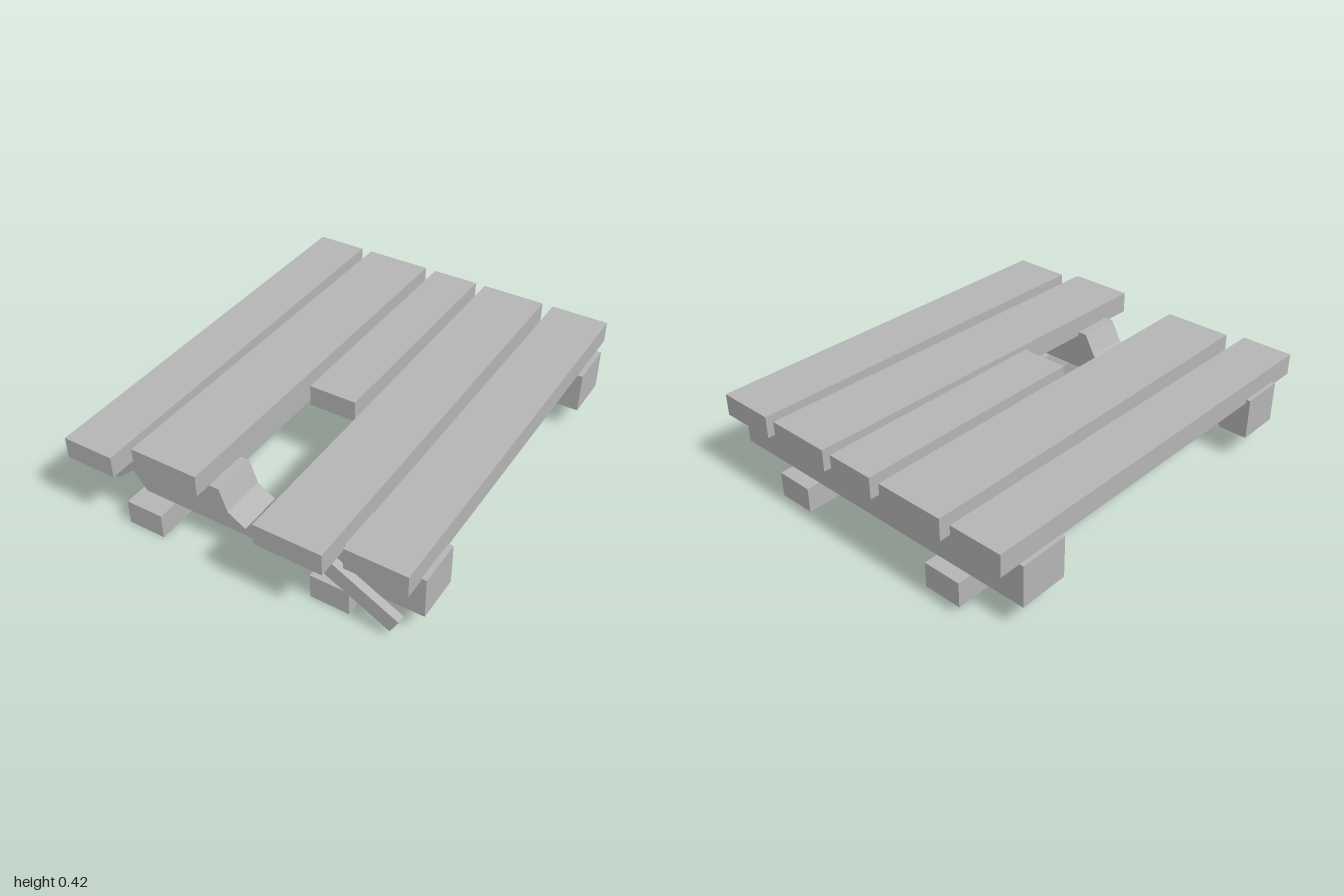
import * as THREE from 'three';

export function createModel() {
  const model = new THREE.Group();
  model.name = 'brokenPallet';
  const wood = new THREE.MeshStandardMaterial({ color: 0xb4b4b4 });
  wood.name = 'greyWood';

  const add = (name, geometry) => {
    const mesh = new THREE.Mesh(geometry, wood);
    mesh.name = name;
    model.add(mesh);
    return mesh;
  };

  // Box given by its limits on each axis
  const block = (x0, x1, y0, y1, z0, z1) =>
    new THREE.BoxGeometry(x1 - x0, y1 - y0, z1 - z0)
      .translate((x0 + x1) / 2, (y0 + y1) / 2, (z0 + z1) / 2);

  // Outline in x and y, extruded along z
  const slab = (points, z0, z1) =>
    new THREE.ExtrudeGeometry(
      new THREE.Shape(points.map(([x, y]) => new THREE.Vector2(x, y))),
      { depth: z1 - z0, bevelEnabled: false }
    ).translate(0, 0, z0);

  // Top planks: left edge, right edge, front end, sag at the front end
  const planks = [
    [-0.815, -0.565, 0.99, 0.022],
    [-0.51, -0.18, 0.92, 0],
    [-0.125, 0.108, 0.17, 0],
    [0.157, 0.473, 1, 0.024],
    [0.527, 0.808, 0.937, 0.012],
  ];
  planks.forEach(([x0, x1, front, sag], i) => {
    const geometry = block(x0, x1, 0.316, 0.42, -1, front);
    const p = geometry.attributes.position;
    for (let k = 0; k < p.count; k++) {
      if (p.getZ(k) > -0.9) p.setY(k, p.getY(k) - sag);
    }
    geometry.computeVertexNormals();
    add(`plank${i + 1}`, geometry);
  });

  // Back cross beam
  add('backBeam', block(-0.835, 0.832, 0.12, 0.316, -0.9, -0.667));

  // Front cross beam with splintered gaps above and below
  add('frontBeam', slab([
    [-0.835, 0.12], [-0.7, 0.12], [-0.603, 0.205], [-0.535, 0.12],
    [0.832, 0.12], [0.832, 0.316], [0.11, 0.316], [0.057, 0.222],
    [-0.01, 0.156], [-0.095, 0.208], [-0.133, 0.316], [-0.835, 0.316],
  ], 0.625, 0.84));

  // Ground runners
  add('rightRunner', block(-0.563, -0.38, 0, 0.12, -0.965, 0.938));
  add('leftRunner', block(0.34, 0.523, 0, 0.12, -0.965, 0.89));

  // Loose splinter hanging in front of the beam
  add('looseSplinter', slab([
    [0.277, 0.265], [0.718, 0.034], [0.756, 0.105], [0.315, 0.336],
  ], 0.868, 0.907));

  return model;
}
